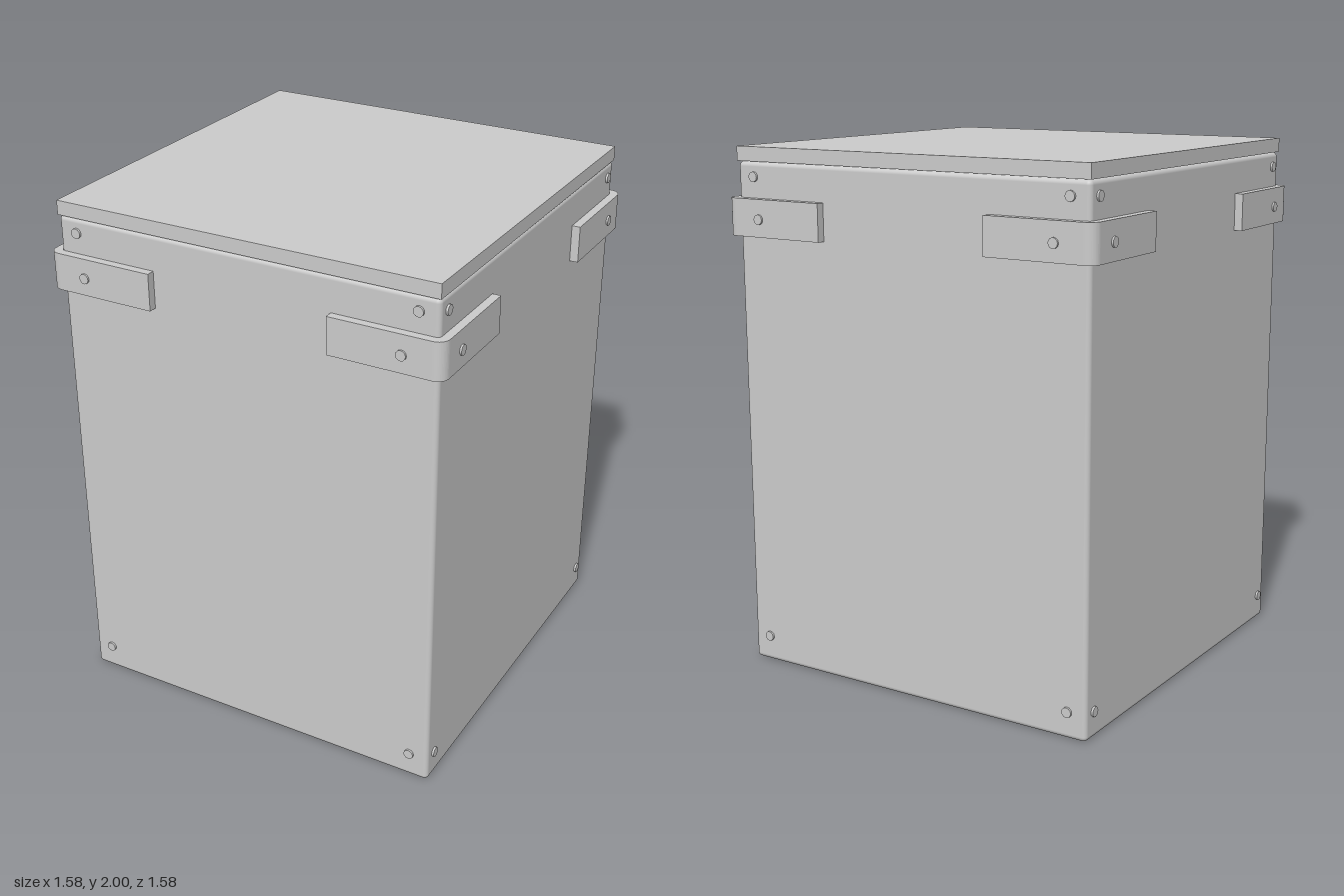
import * as THREE from 'three';
import { RoundedBoxGeometry } from 'three/addons/geometries/RoundedBoxGeometry.js';

export function createModel() {
  const model = new THREE.Group();
  model.name = 'box';
  const material = new THREE.MeshStandardMaterial({ color: 0xcccccc });
  const half = 0.75;

  const add = (parent, geometry, name, x = 0, y = 0, z = 0) => {
    const mesh = new THREE.Mesh(geometry, material);
    mesh.name = name;
    mesh.position.set(x, y, z);
    parent.add(mesh);
    return mesh;
  };

  // Body with softly rounded edges, and the flat lid on top
  add(model, new RoundedBoxGeometry(2 * half, 1.945, 2 * half, 3, 0.018), 'body', 0, 0.9725, 0);
  add(model, new THREE.BoxGeometry(2 * half + 0.004, 0.054, 2 * half + 0.004), 'lid', 0, 1.973, 0);

  // L-shaped corner strap, drawn in plan and extruded upwards
  const inner = half - 0.002, outer = 0.782, end = 0.353, r = 0.042;
  const plan = new THREE.Shape();
  plan.moveTo(end, outer);
  plan.lineTo(end, inner);
  plan.lineTo(inner - 0.01, inner);
  plan.quadraticCurveTo(inner, inner, inner, inner - 0.01);
  plan.lineTo(inner, end);
  plan.lineTo(outer, end);
  plan.lineTo(outer, outer - r);
  plan.absarc(outer - r, outer - r, r, 0, Math.PI / 2, false);
  plan.closePath();
  const strapGeometry = new THREE.ExtrudeGeometry(plan, { depth: 0.14, bevelEnabled: false, curveSegments: 6 });
  strapGeometry.rotateX(-Math.PI / 2);

  // Rivets lie along z, with the head facing outwards
  const rivetGeometry = new THREE.CylinderGeometry(0.019, 0.019, 0.018, 12);
  rivetGeometry.rotateX(Math.PI / 2);

  // Each side carries four panel rivets and two strap rivets; each corner one strap
  for (let i = 0; i < 4; i++) {
    const side = new THREE.Group();
    side.name = 'side' + (i + 1);
    side.rotation.y = i * Math.PI / 2;
    model.add(side);

    add(side, strapGeometry, 'cornerStrap', 0, 1.672, 0);
    for (const s of [-1, 1]) {
      for (const y of [0.1, 1.89]) add(side, rivetGeometry, 'panelRivet', s * (i % 2 ? 0.695 : 0.675), y, 0.749);
      add(side, rivetGeometry, 'strapRivet', s * (i % 2 ? 0.65 : 0.63), 1.738, 0.78);
    }
  }
  return model;
}
